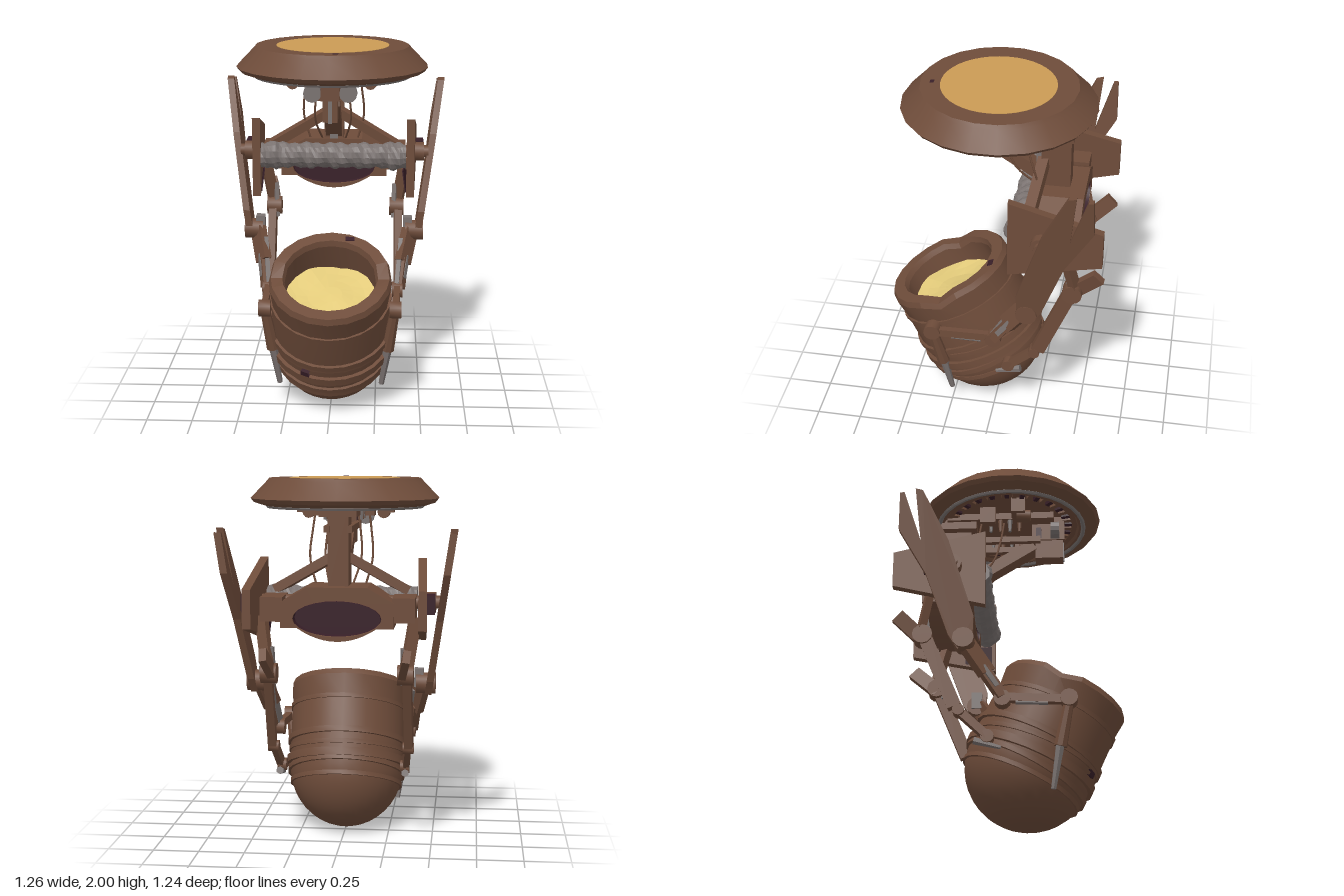
import * as THREE from 'three';
import { toCreasedNormals } from 'three/addons/utils/BufferGeometryUtils.js';

const paint = (name, color, extra = {}) => {
  const m = new THREE.MeshStandardMaterial({ color, ...extra });
  m.name = name;
  return m;
};

export function createModel() {
  const wood = paint('brown wood', 0x6e4c3a);
  const dark = paint('dark purple', 0x381f28, { side: THREE.DoubleSide });
  const grey = paint('grey cloth and steel', 0x7a7270, { flatShading: true });
  const gold = paint('gold', 0xcb9b55);
  const cream = paint('yellow filling', 0xe2ca7a, { side: THREE.DoubleSide, flatShading: true });
  const model = new THREE.Group();
  const V = (p) => new THREE.Vector3(...p);
  const UP = new THREE.Vector3(0, 1, 0);

  const add = (name, geo, mat, pos = [0, 0, 0], parent = model) => {
    const m = new THREE.Mesh(geo, mat);
    m.name = name;
    m.position.set(...pos);
    parent.add(m);
    return m;
  };
  const box = (name, size, pos, mat = wood, parent = model) =>
    add(name, new THREE.BoxGeometry(...size), mat, pos, parent);
  // Aligns a geometry built along y with the line a-b
  const span = (name, geo, a, b, mat) => {
    const A = V(a), B = V(b);
    const m = add(name, geo, mat, A.clone().add(B).multiplyScalar(0.5).toArray());
    m.quaternion.setFromUnitVectors(UP, B.sub(A).normalize());
    return m;
  };
  const len = (a, b) => V(a).distanceTo(V(b));
  const beam = (name, a, b, w, d, mat = wood) =>
    span(name, new THREE.BoxGeometry(w, len(a, b), d), a, b, mat);
  const rod = (name, a, b, r0, r1 = r0, mat = wood, sides = 12) =>
    span(name, toCreasedNormals(new THREE.CylinderGeometry(r1, r0, len(a, b), sides), 0.7), a, b, mat);
  const lathe = (pts, sides, start = 0, arc = Math.PI * 2) => toCreasedNormals(
    new THREE.LatheGeometry(pts.map((p) => new THREE.Vector2(...p)), sides, start, arc), 0.45);
  const band = (r0, r1, h) => [[r0, -h], [r1, -h], [r1, h], [r0, h]];
  // Plate drawn in (z, y), with its x position given by a rule
  const sidePlate = (name, pts, thick, xRule, mat = wood) => {
    const shape = new THREE.Shape(pts.map((p) => new THREE.Vector2(...p)));
    const g = new THREE.ExtrudeGeometry(shape, { depth: thick, bevelEnabled: false });
    g.translate(0, 0, -thick / 2).rotateY(-Math.PI / 2);
    const p = g.attributes.position;
    for (let i = 0; i < p.count; i++) p.setX(i, p.getX(i) + xRule(p.getY(i), p.getZ(i)));
    g.computeVertexNormals();
    return add(name, g, mat);
  };

  // Ceiling disc
  add('ceilingDisc', lathe([[0, 1.9], [0.35, 1.9], [0.36, 1.865], [0.39, 1.865], [0.4, 1.848],
    [0.45, 1.85], [0.505, 1.868], [0.522, 1.89], [0.435, 1.98], [0.418, 2], [0, 2]], 22), wood, [0, 0, 0.007]);
  add('goldInlay', new THREE.CylinderGeometry(0.306, 0.306, 0.006, 40), gold, [0.003, 1.999, 0.011]);
  box('discChip', [0.03, 0.006, 0.02], [0.03, 1.999, 0.36], dark);
  const ring = add('undersideRing', new THREE.TorusGeometry(0.425, 0.013, 6, 32), grey, [0, 1.848, 0.007]);
  ring.rotation.x = Math.PI / 2;
  for (let i = 0; i < 48; i++) {
    const a = (i / 48) * Math.PI * 2;
    const t = box('undersideTooth', [0.025, 0.025, 0.06],
      [Math.sin(a) * 0.345, 1.88, Math.cos(a) * 0.345], i % 2 ? wood : dark);
    t.rotation.y = a;
  }

  // Hanging frame under the disc
  box('mainPost', [0.11, 0.45, 0.16], [0, 1.63, -0.305]);
  box('postHead', [0.2, 0.09, 0.22], [0, 1.85, -0.3]);
  box('postFrontRail', [0.045, 0.42, 0.03], [0, 1.62, -0.21], grey);
  box('frontBlock', [0.08, 0.12, 0.16], [0, 1.69, 0.23]);
  box('frontBlockTop', [0.1, 0.15, 0.19], [0, 1.82, 0.225]);
  box('frontBlockInset', [0.105, 0.07, 0.03], [0, 1.79, 0.17], dark);
  box('frontBlockStrip', [0.02, 0.13, 0.008], [0, 1.69, 0.312], grey);
  box('mountRail', [0.24, 0.04, 0.62], [0, 1.87, -0.05]);
  beam('diagonalBeam', [0, 1.72, 0.14], [0, 1.48, -0.24], 0.09, 0.07);

  // Cross body with a dark tunnel
  const body = new THREE.Shape();
  body.moveTo(-0.3, 1.225);
  body.lineTo(-0.21, 1.225);
  body.quadraticCurveTo(0, 1.085, 0.21, 1.225);
  body.lineTo(0.3, 1.225);
  body.lineTo(0.3, 1.36);
  body.lineTo(0.16, 1.44);
  body.lineTo(-0.16, 1.44);
  body.lineTo(-0.3, 1.36);
  body.closePath();
  body.holes.push(new THREE.Path().absellipse(0, 1.275, 0.235, 0.095, 0, Math.PI * 2, true));
  add('crossBody', new THREE.ExtrudeGeometry(body, { depth: 0.28, bevelEnabled: false, curveSegments: 12 }),
    wood, [0, 0, -0.47]);
  const liner = new THREE.CylinderGeometry(1, 1, 0.276, 24, 1, true).rotateX(Math.PI / 2).scale(0.232, 0.092, 1);
  add('tunnelLiner', liner, dark, [0, 1.275, -0.33]);
  const fill = new THREE.Shape().absellipse(0, 1.275, 0.237, 0.097, 0, Math.PI * 2);
  add('tunnelFill', new THREE.ExtrudeGeometry(fill, { depth: 0.17, bevelEnabled: false, curveSegments: 12 }),
    dark, [0, 0, -0.4]);

  // Wrapped roller, rippled like twisted cloth
  const roll = new THREE.CylinderGeometry(0.07, 0.07, 0.82, 14, 48);
  const rp = roll.attributes.position;
  for (let i = 0; i < rp.count; i++) {
    const y = rp.getY(i), a = Math.atan2(rp.getZ(i), rp.getX(i));
    const k = 1 + 0.07 * Math.sin(y * 95 + a * 3) + 0.06 * Math.cos(y * 41 - a * 2)
      + (Math.abs(y) > 0.31 && Math.abs(y) < 0.38 ? 0.12 : 0);
    rp.setX(i, rp.getX(i) * k);
    rp.setZ(i, rp.getZ(i) * k);
  }
  roll.rotateZ(Math.PI / 2);
  add('wrappedRoller', roll, grey, [0, 1.35, -0.16]);
  rod('axle', [-0.54, 1.35, -0.29], [0.54, 1.35, -0.29], 0.035);

  for (const s of [1, -1]) {
    // Frame fittings and cables
    rod('pulley', [s * 0.095, 1.78, 0.24], [s * 0.095, 1.78, 0.29], 0.048, 0.048, grey);
    rod('smallPulley', [s * 0.21, 1.81, 0.05], [s * 0.21, 1.81, 0.13], 0.035);
    box('ceilingBracket', [0.08, 0.1, 0.08], [s * 0.23, 1.86, 0.06]);
    box('ceilingClamp', [0.05, 0.1, 0.09], [s * 0.15, 1.85, -0.12]);
    box('longRail', [0.03, 0.035, 0.58], [s * 0.06, 1.74, -0.11]);
    for (let i = 0; i < 4; i++) {
      rod('hanger', [s * 0.1, 1.86, 0.06 - i * 0.055], [s * 0.1, 1.775, 0.06 - i * 0.055], 0.016, 0.008, i % 2 ? grey : wood, 6);
    }
    beam('spreadStrut', [s * 0.03, 1.59, -0.24], [s * 0.36, 1.4, -0.2], 0.05, 0.06);
    for (let i = 0; i < 2; i++) {
      const x = 0.07 + i * 0.07, z = -0.03 - i * 0.12;
      const path = new THREE.CatmullRomCurve3([[s * x, 1.86, z], [s * (x + 0.02), 1.72, z - 0.02],
        [s * (x + 0.03), 1.58, z - 0.06], [s * (x - 0.01), 1.42, -0.24]].map(V));
      add('cable', new THREE.TubeGeometry(path, 12, 0.006, 5), wood);
    }
    rod('axleHub', [s * 0.43, 1.35, -0.29], [s * 0.515, 1.35, -0.29], 0.055);

    // Shoulder plate with a dark lower lining
    const plateX = (y, z) => s * (0.405 - (z + 0.11) * 0.1
      + 0.03 * Math.min(1, Math.abs(y - 1.35) / 0.22) * (z > -0.3 ? 1 : 0));
    sidePlate('shoulderPlate', [[-0.11, 1.12], [-0.11, 1.57], [-0.61, 1.44], [-0.61, 1.235]].reverse(), 0.045, plateX);
    sidePlate('plateLining', [[-0.13, 1.145], [-0.13, 1.27], [-0.29, 1.27], [-0.29, 1.175]].reverse(), 0.006,
      (y, z) => plateX(y, z) - s * 0.026, dark);
    box('plateSpacer', [0.065, 0.1, 0.11], [s * 0.48, 1.35, -0.385], dark);
    box('shoulderBlock', [0.12, 0.13, 0.22], [s * 0.35, 1.32, -0.34]);

    // Forked outer arm
    sidePlate('forkedArm', [[-0.17, 0.9], [-0.25, 0.84], [-0.3, 0.92], [-0.42, 1.26], [-0.57, 1.52],
      [-0.565, 1.73], [-0.54, 1.73], [-0.45, 1.45], [-0.48, 1.75], [-0.44, 1.74], [-0.3, 1.45], [-0.165, 1.02]].reverse(),
      0.038, (y) => s * (0.612 - (1.75 - y) * 0.15));
    rod('elbowHub', [s * 0.41, 0.9, -0.22], [s * 0.515, 0.9, -0.22], 0.058);
    box('elbowBlock', [0.05, 0.1, 0.06], [s * 0.425, 0.93, -0.22], grey);

    // Front forearm and claw
    beam('forearm', [s * 0.44, 0.9, -0.21], [s * 0.4, 0.74, -0.1], 0.045, 0.1);
    beam('forearmLower', [s * 0.405, 0.76, -0.12], [s * 0.385, 0.61, -0.02], 0.04, 0.06);
    beam('forearmSleeve', [s * 0.42, 0.77, -0.125], [s * 0.4, 0.66, -0.05], 0.03, 0.03, grey);
    beam('forearmRod', [s * 0.395, 0.86, -0.16], [s * 0.37, 0.6, -0.01], 0.025, 0.05, grey);
    rod('wrist', [s * 0.34, 0.6, -0.02], [s * 0.4, 0.6, -0.02], 0.045);
    beam('wristLink', [s * 0.37, 0.61, -0.02], [s * 0.36, 0.595, 0.32], 0.035, 0.045);
    rod('wristPiston', [s * 0.375, 0.58, 0.05], [s * 0.37, 0.575, 0.22], 0.011, 0.011, grey);
    rod('knuckle', [s * 0.325, 0.6, 0.33], [s * 0.39, 0.6, 0.33], 0.047);
    rod('finger', [s * 0.355, 0.59, 0.33], [s * 0.318, 0.35, 0.28], 0.027, 0.036, wood, 8);
    rod('claw', [s * 0.322, 0.38, 0.282], [s * 0.285, 0.13, 0.24], 0.026, 0.015, grey, 6);

    // Rear arm
    beam('rearArmRoot', [s * 0.41, 1.28, -0.4], [s * 0.37, 1.02, -0.46], 0.04, 0.06);
    beam('rearArmSpur', [s * 0.34, 0.96, -0.44], [s * 0.375, 1.1, -0.59], 0.04, 0.08);
    beam('rearArmRod', [s * 0.35, 1.12, -0.44], [s * 0.345, 0.92, -0.41], 0.025, 0.02, grey);
    rod('rearHub', [s * 0.32, 0.98, -0.45], [s * 0.405, 0.98, -0.45], 0.055);
    beam('rearForearm', [s * 0.37, 1.0, -0.45], [s * 0.375, 0.56, -0.27], 0.045, 0.075);
    rod('rearWrist', [s * 0.34, 0.54, -0.25], [s * 0.4, 0.54, -0.25], 0.032);
    beam('rearLink', [s * 0.365, 0.54, -0.25], [s * 0.35, 0.4, -0.1], 0.035, 0.045);
    rod('rearKnuckle', [s * 0.32, 0.4, -0.1], [s * 0.37, 0.4, -0.1], 0.036);
    rod('rearClaw', [s * 0.35, 0.38, -0.17], [s * 0.345, 0.34, -0.03], 0.022, 0.01, grey, 6);
  }

  // Tilted barrel with a domed bottom
  const barrel = new THREE.Group();
  barrel.name = 'barrel';
  barrel.position.set(0, 0.345, 0.1);
  barrel.rotation.x = 0.442;
  barrel.scale.z = 1.07;
  model.add(barrel);
  const profile = [];
  for (let i = 0; i <= 10; i++) {
    const a = (i / 10) * Math.PI / 2;
    profile.push([Math.sin(a) * 0.325, -Math.cos(a) * 0.345]);
  }
  profile.push([0.33, 0.16], [0.328, 0.34]);
  add('barrelBody', lathe(profile, 32), wood, [0, 0, 0], barrel);

  // Chunky rim, notched at both sides
  const rim = new THREE.LatheGeometry([[0.324, 0.32], [0.338, 0.46], [0.325, 0.492],
    [0.262, 0.492], [0.25, 0.46], [0.25, 0.26]].map((p) => new THREE.Vector2(...p)), 20);
  const q = rim.attributes.position;
  for (let i = 0; i < q.count; i++) {
    if (q.getY(i) > 0.4 && Math.abs(q.getZ(i)) < 0.05) q.setY(i, q.getY(i) - 0.03);
  }
  add('barrelRim', toCreasedNormals(rim, 0.35), wood, [0, 0, 0], barrel);
  box('rimChip', [0.05, 0.008, 0.03], [0.1, 0.491, -0.275], dark, barrel);

  // Hoops: height, half width, radius, tilt
  [[0.335, 0.012, 0.337, 0], [0.135, 0.016, 0.346, 0.02], [0.09, 0.012, 0.338, -0.05], [0.02, 0.022, 0.348, -0.02],
    [-0.035, 0.014, 0.338, 0.06], [-0.1, 0.012, 0.32, 0]].forEach(([y, h, r, tilt]) => {
    const hoop = add('hoop', lathe(band(r - 0.035, r, h), 24), wood, [0, y, 0], barrel);
    hoop.rotation.x = tilt;
  });
  add('frontPatch', lathe(band(0.31, 0.35, 0.015), 3, -0.46, 0.14), dark, [0, 0.07, 0], barrel);

  // Lumpy filling, higher toward the front
  const filling = new THREE.RingGeometry(0.001, 0.255, 18, 4).rotateX(-Math.PI / 2);
  const f = filling.attributes.position;
  for (let i = 0; i < f.count; i++) {
    const x = f.getX(i), z = f.getZ(i);
    f.setY(i, 0.338 + 0.12 * z + 0.012 * Math.sin(x * 19 + 1) * Math.cos(z * 15));
  }
  add('filling', filling, cream, [0, 0, 0], barrel);

  return model;
}
